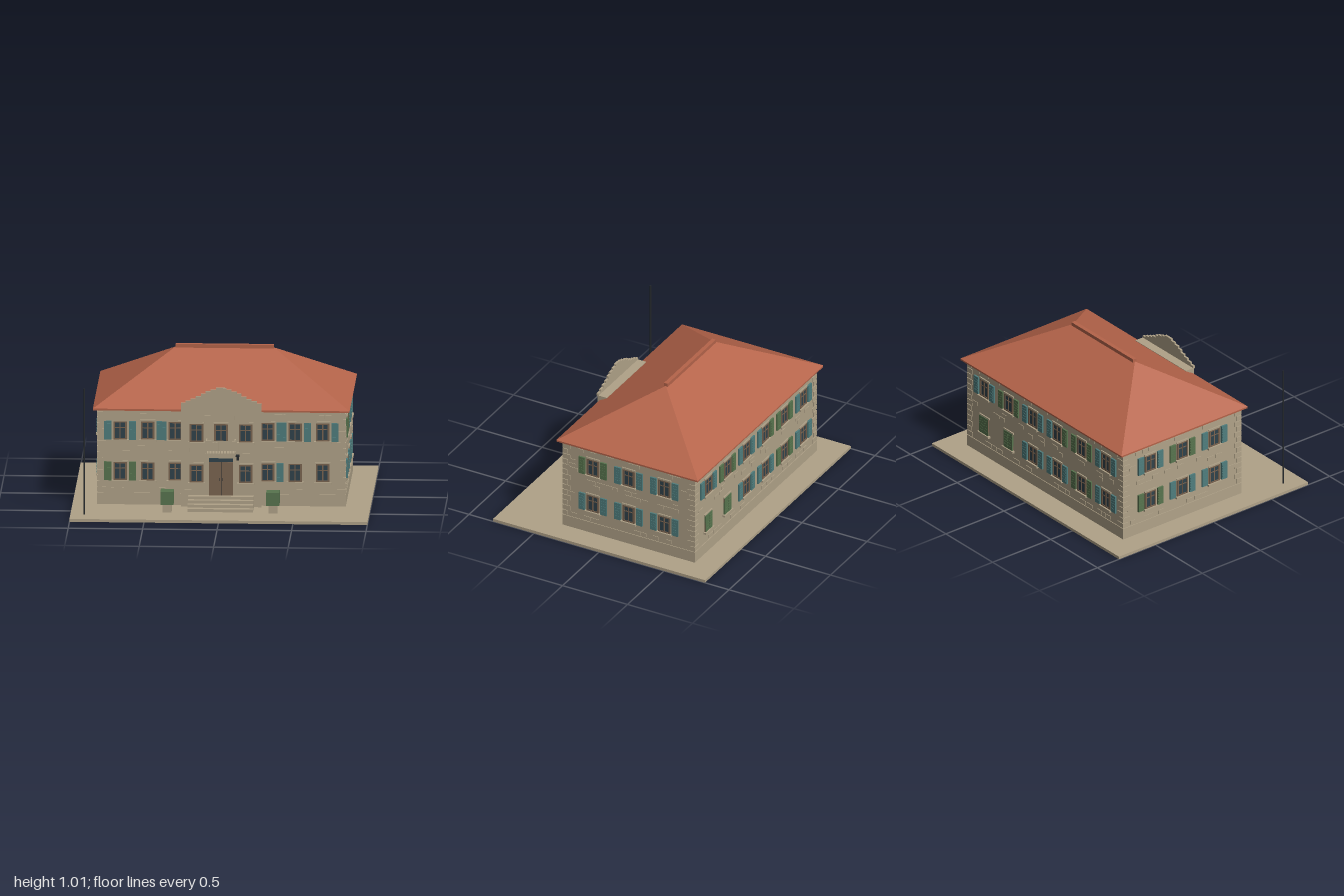
import * as THREE from 'three';
import { mergeGeometries } from 'three/addons/utils/BufferGeometryUtils.js';

const mat = (name, color) => {
  const m = new THREE.MeshStandardMaterial({ color });
  m.name = name;
  return m;
};

export function createModel() {
  const stone = mat('stone', 0xb0a288), roofTile = mat('roofTile', 0xb5644a);
  const wood = mat('wood', 0x7a6450), glass = mat('glass', 0x2f424b);
  const teal = mat('teal', 0x4f7d7d), green = mat('green', 0x58744e), iron = mat('iron', 0x24282b);

  const model = new THREE.Group();
  model.name = 'villa';

  const add = (parent, name, geometry, material) => {
    const mesh = new THREE.Mesh(geometry, material);
    mesh.name = name;
    parent.add(mesh);
    return mesh;
  };
  const boxGeo = (x0, x1, y0, y1, z0, z1) =>
    new THREE.BoxGeometry(x1 - x0, y1 - y0, z1 - z0)
      .translate((x0 + x1) / 2, (y0 + y1) / 2, (z0 + z1) / 2);
  const box = (parent, name, material, ...b) => add(parent, name, boxGeo(...b), material);
  const boxes = (parent, name, material, list) =>
    add(parent, name, mergeGeometries(list.map((b) => boxGeo(...b))), material);

  // Ground, walls and projecting centre bay
  box(model, 'ground', stone, -1, 1, 0, 0.02, -0.815, 0.815);
  box(model, 'walls', stone, -0.83, 0.83, 0.02, 0.68, -0.64, 0.37);
  box(model, 'plinth', stone, -0.835, 0.835, 0.02, 0.1, -0.645, 0.375);
  box(model, 'centreBay', stone, -0.27, 0.27, 0.02, 0.72, 0.35, 0.42);

  // Stepped gable above the bay: half-width and top of each step
  const steps = [[0.27, 0.735], [0.24, 0.75], [0.205, 0.765], [0.17, 0.78],
    [0.135, 0.8], [0.105, 0.815], [0.07, 0.827], [0.035, 0.84]];
  boxes(model, 'steppedGable', stone, steps.map(([w, top], i) =>
    [-w, w, i ? steps[i - 1][1] : 0.715, top, 0.413, 0.428]));

  // Hipped roof of slightly lapped tile courses
  const courses = 14, verts = [];
  const ring = (t, out) => {
    const hx = 0.86 - 0.53 * t + out, hz = 0.5425 * (1 - t) + out, y = 0.685 + 0.305 * t;
    return [[-hx, hz], [hx, hz], [hx, -hz], [-hx, -hz]].map(([x, z]) => [x, y, z - 0.1375]);
  };
  const band = (a, b) => {
    for (let i = 0; i < 4; i++) {
      const j = (i + 1) % 4;
      verts.push(...a[i], ...a[j], ...b[j], ...a[i], ...b[j], ...b[i]);
    }
  };
  for (let i = 0; i < courses; i++) {
    const low = ring(i / courses, 0.002), high = ring((i + 1) / courses, 0);
    band(low, high);
    if (i < courses - 1) band(high, ring((i + 1) / courses, 0.002));
  }
  const roofGeo = new THREE.BufferGeometry();
  roofGeo.setAttribute('position', new THREE.Float32BufferAttribute(verts, 3));
  roofGeo.computeVertexNormals();
  add(model, 'roof', roofGeo, roofTile).material.side = THREE.DoubleSide;
  box(model, 'eaves', roofTile, -0.86, 0.86, 0.672, 0.686, -0.68, 0.405);
  box(model, 'ridgeCap', roofTile, -0.33, 0.33, 0.985, 1.01, -0.152, -0.124);

  // Window facing local +z; shutters are materials for its left and right leaf
  const W = 0.042, H = 0.062;
  const addShutter = (g, x, material) => {
    box(g, 'shutter', material, x - 0.024, x + 0.024, -H - 0.002, H + 0.002, 0, 0.012);
    boxes(g, 'shutterSlats', material, [-0.04, -0.02, 0, 0.02, 0.04].map((y) =>
      [x - 0.018, x + 0.018, y - 0.006, y + 0.006, 0.012, 0.014]));
  };
  const windowUnit = (wall, x, y, shutters = [], closed = null) => {
    const g = new THREE.Group();
    g.name = 'window';
    g.position.set(x, y, 0);
    wall.add(g);
    boxes(g, 'surround', stone, [[-0.052, 0.052, H, H + 0.012, 0, 0.008],
      [-0.058, 0.058, -H - 0.014, -H, 0, 0.02]]);
    box(g, 'pane', glass, -W, W, -H, H, 0, 0.004);
    boxes(g, 'windowFrame', wood, [
      [-W - 0.004, -W + 0.008, -H, H, 0, 0.009], [W - 0.008, W + 0.004, -H, H, 0, 0.009],
      [-W, W, H - 0.009, H, 0, 0.0085], [-W, W, -H, -H + 0.009, 0, 0.0085],
      [-0.004, 0.004, -H, H, 0, 0.008], [-W, W, 0.016, 0.022, 0, 0.007]]);
    if (closed) [-0.022, 0.022].forEach((sx) => addShutter(g, sx, closed));
    if (shutters[0]) addShutter(g, -0.083, shutters[0]);
    if (shutters[1]) addShutter(g, 0.083, shutters[1]);
  };
  const wallGroup = (name, x, z, turn) => {
    const g = new THREE.Group();
    g.name = name;
    g.position.set(x, 0, z);
    g.rotation.y = turn;
    model.add(g);
    return g;
  };
  const front = wallGroup('frontWall', 0, 0.37, 0);
  const bay = wallGroup('bayWall', 0, 0.42, 0);
  const right = wallGroup('sideWallPlusX', 0.83, -0.135, Math.PI / 2);
  const left = wallGroup('sideWallMinusX', -0.83, -0.135, -Math.PI / 2);
  const back = wallGroup('backWall', 0, -0.64, Math.PI);
  const UP = 0.53, LOW = 0.25;

  // Front windows
  const both = [teal, teal];
  [[-0.68, both], [-0.495, [null, teal]], [-0.31, [teal, null]],
    [0.31, [null, teal]], [0.495, both], [0.68, [null, teal]]]
    .forEach(([x, s]) => windowUnit(front, x, UP, s));
  [[-0.68, [green, green]], [-0.495], [-0.31], [0.31, [null, teal]], [0.495], [0.68]]
    .forEach(([x, s]) => windowUnit(front, x, LOW, s));
  [-0.165, 0, 0.165].forEach((x) => windowUnit(bay, x, UP));
  [-0.165, 0.165].forEach((x) => windowUnit(bay, x, LOW));

  // Side and back windows
  const sideX = [-0.275, 0, 0.275];
  sideX.forEach((x, i) => {
    windowUnit(right, x, UP, i === 0 ? [green, green] : both);
    windowUnit(right, x, LOW, both);
    windowUnit(left, x, UP, i === 1 ? [green, green] : both);
    windowUnit(left, x, LOW, i === 0 ? [green, green] : both);
  });
  const backX = [-0.65, -0.39, -0.13, 0.13, 0.39, 0.65];
  backX.forEach((x, i) => {
    windowUnit(back, x, UP, i % 3 === 1 ? [green, green] : i === 3 ? [teal, green] : both);
    if (i < 2) windowUnit(back, x, LOW, [], green);
    else windowUnit(back, x, LOW, i === 4 ? [green, green] : both);
  });

  // Scattered raised masonry blocks, kept clear of the openings
  let seed = 7;
  const rand = () => (seed = (seed * 16807) % 2147483647) / 2147483647;
  const masonry = (wall, x0, x1, openings, skip = () => false) => {
    const list = [];
    for (let y = 0.11; y < 0.64; y += 0.032) {
      for (let x = x0 + 0.03 * rand(); x < x1 - 0.07;) {
        const w = 0.035 + 0.035 * rand(), mid = x + w / 2;
        const blocked = skip(mid, y) || openings.some((o) => Math.abs(mid - o) < 0.15)
          && (Math.abs(y + 0.013 - UP) < 0.1 || Math.abs(y + 0.013 - LOW) < 0.1);
        if (!blocked && rand() < 0.4) list.push([x, x + w, y, y + 0.026, 0, 0.004]);
        x += w + 0.006;
      }
    }
    boxes(wall, 'masonryBlocks', stone, list);
  };
  const frontX = [-0.68, -0.495, -0.31, 0.31, 0.495, 0.68];
  masonry(front, -0.79, 0.79, frontX, (x) => Math.abs(x) < 0.31);
  masonry(bay, -0.26, 0.26, [-0.165, 0, 0.165], (x, y) => Math.abs(x) < 0.15 && y < 0.5);
  masonry(right, -0.47, 0.47, sideX);
  masonry(left, -0.47, 0.47, sideX);
  masonry(back, -0.79, 0.79, backX);

  // Alternating corner stones
  const quoins = [];
  for (const [cx, cz] of [[0.83, 0.37], [-0.83, 0.37], [0.83, -0.64], [-0.83, -0.64]]) {
    for (let i = 0; i < 14; i++) {
      const dx = i % 2 ? 0.035 : 0.055, dz = i % 2 ? 0.055 : 0.035, y = 0.105 + i * 0.04;
      const sx = Math.sign(cx), sz = Math.sign(cz);
      const xs = [cx + sx * 0.005, cx - sx * dx].sort((a, b) => a - b);
      const zs = [cz + sz * 0.005, cz - sz * dz].sort((a, b) => a - b);
      quoins.push([...xs, y, y + 0.034, ...zs]);
    }
  }
  boxes(model, 'cornerStones', stone, quoins);

  // Entrance door with transom, handles and wall lamp
  box(bay, 'doorLeaves', wood, -0.08, 0.08, 0.1, 0.33, 0, 0.008);
  box(bay, 'doorTransom', glass, -0.08, 0.08, 0.33, 0.355, 0, 0.006);
  box(bay, 'doorGap', iron, -0.0015, 0.0015, 0.1, 0.33, 0.008, 0.009);
  boxes(bay, 'doorHandles', iron, [-0.009, 0.006].map((x) => [x, x + 0.003, 0.2, 0.22, 0.008, 0.013]));
  boxes(bay, 'wallLamp', iron, [[0.1, 0.125, 0.375, 0.383, 0, 0.04], [0.104, 0.121, 0.35, 0.375, 0.02, 0.037]]);

  // Balcony with balusters
  box(bay, 'balconySlab', stone, -0.1, 0.1, 0.392, 0.405, 0, 0.07);
  const rail = [[-0.1, 0.1, 0.482, 0.49, 0.062, 0.07]];
  for (const s of [-0.096, 0.096]) rail.push([s - 0.004, s + 0.004, 0.482, 0.49, 0, 0.063]);
  for (let i = 0; i < 11; i++) {
    const x = -0.096 + i * 0.0192;
    rail.push([x - 0.003, x + 0.003, 0.405, 0.482, 0.063, 0.069]);
  }
  boxes(bay, 'balconyRailing', stone, rail);

  // Entrance steps
  boxes(model, 'entranceSteps', stone, [0.575, 0.535, 0.495, 0.46].map((z, i) =>
    [-0.22, 0.22, 0.02 + i * 0.02, 0.04 + i * 0.02, 0.41, z]));

  // Clipped shrubs on pedestals
  for (const s of [-1, 1]) {
    const x = s * 0.355;
    box(model, 'planter', stone, x - 0.03, x + 0.03, 0.02, 0.08, 0.54, 0.6);
    box(model, 'shrub', green, x - 0.044, x + 0.044, 0.076, 0.166, 0.526, 0.614);
  }

  // Flagpole
  add(model, 'flagpole', new THREE.CylinderGeometry(0.006, 0.006, 0.865, 8), iron)
    .position.set(-0.907, 0.4525, 0.675);

  return model;
}
